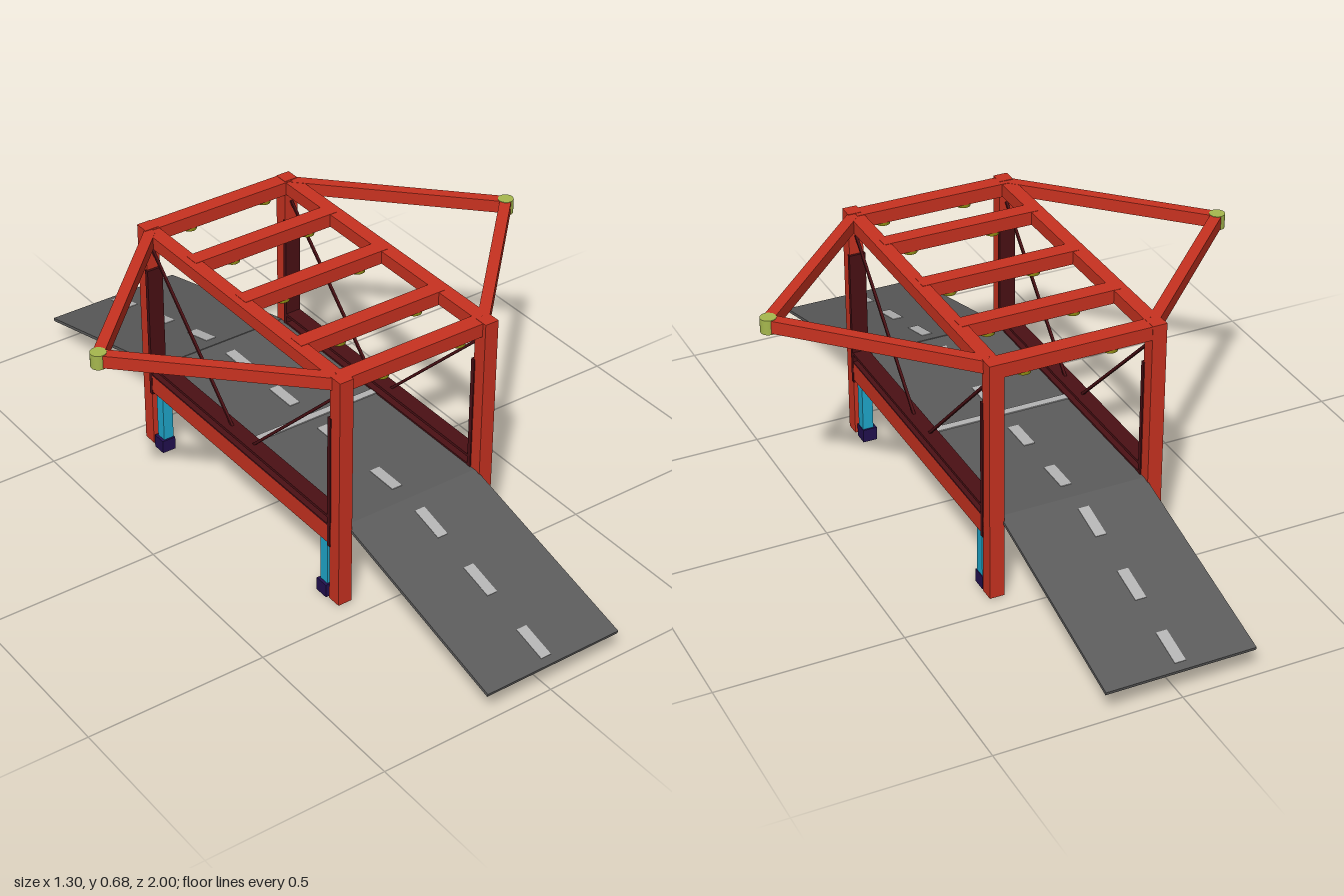
import * as THREE from 'three';

const mat = (color) => new THREE.MeshStandardMaterial({ color });
const red = mat(0xc83220), maroon = mat(0x4a1014), asphalt = mat(0x5c5c5c), paint = mat(0xb4b4b4);
const cyan = mat(0x1fa8cc), navy = mat(0x22104f), green = mat(0xa6b84e), olive = mat(0x8c8a14);

export function createModel() {
  const model = new THREE.Group();

  const add = (name, geometry, material, x, y, z) => {
    const mesh = new THREE.Mesh(geometry, material);
    mesh.name = name;
    mesh.position.set(x, y, z);
    model.add(mesh);
    return mesh;
  };
  const box = (name, material, w, h, d, x, y, z) =>
    add(name, new THREE.BoxGeometry(w, h, d), material, x, y, z);
  // Bar of rectangular section running between two points
  const bar = (name, material, w, h, a, b) => {
    const from = new THREE.Vector3(...a), to = new THREE.Vector3(...b);
    const mid = from.clone().add(to).multiplyScalar(0.5);
    const mesh = box(name, material, w, h, from.distanceTo(to), mid.x, mid.y, mid.z);
    mesh.lookAt(to);
    return mesh;
  };

  const cx = 0.005; // the frame sits slightly off the centre line

  // Deck with a joint strip across the middle and plates at both ends
  box('deck', asphalt, 0.405, 0.02, 0.86, cx, 0.221, 0);
  box('deckJoint', paint, 0.405, 0.004, 0.022, cx, 0.232, 0);

  for (const end of [1, -1]) {
    box('endPlate', paint, 0.4, 0.016, 0.006, cx, 0.213, end * 0.431);
    // Sloping ramp
    bar('ramp', asphalt, 0.405, 0.009, [cx, 0.228, end * 0.43], [cx, 0.08, end * 0.999]);
  }

  // Lane dashes on the deck and the ramps
  for (const z of [-0.93, -0.73, -0.52, -0.33, -0.12, 0.1, 0.33, 0.52, 0.72, 0.93]) {
    const height = (t) => {
      const past = Math.abs(t) - 0.43;
      return past > 0 ? 0.2325 - past * 0.26 : 0.2315;
    };
    bar('laneDash', paint, 0.03, 0.003, [-0.002, height(z - 0.048), z - 0.048], [-0.002, height(z + 0.048), z + 0.048]);
  }

  for (const side of [1, -1]) {
    const x = cx + side * 0.22;

    // Main side beams
    box('lowerSideBeam', red, 0.044, 0.052, 0.83, x, 0.205, 0);
    box('topSideBeam', red, 0.04, 0.036, 0.86, x, 0.66, 0);

    // Dark inner frame and rail
    box('beamCap', maroon, 0.044, 0.006, 0.82, x, 0.233, 0);
    box('sideRail', maroon, 0.044, 0.008, 0.82, x, 0.26, 0);

    for (const end of [1, -1]) {
      box('cornerPost', red, 0.04, 0.675, 0.04, x, 0.3425, end * 0.43);
      box('postLining', maroon, 0.046, 0.39, 0.012, x, 0.365, end * 0.409);

      // Diagonal tension rod
      bar('tensionRod', maroon, 0.007, 0.007, [x, 0.615, end * 0.41], [x, 0.228, end * 0.015]);

      // Hydraulic leg and foot
      box('leg', cyan, 0.03, 0.15, 0.03, x, 0.11, end * 0.38);
      box('foot', navy, 0.04, 0.038, 0.04, x - 0.003, 0.02, end * 0.38);

      // Outrigger arm swung out to the side
      bar('outriggerArm', red, 0.03, 0.035, [cx + side * 0.225, 0.661, end * 0.41], [side * 0.63, 0.661, 0]);
    }

    // Pivot at the outrigger tip
    add('outriggerPivot', new THREE.CylinderGeometry(0.021, 0.021, 0.04, 24), green, side * 0.63, 0.66, 0);
  }

  // Top cross beams, each with two lamps underneath
  for (const z of [-0.427, -0.225, 0, 0.24, 0.417]) {
    box('crossBeam', red, 0.44, 0.038, 0.044, cx, 0.66, z);
    for (const x of [-0.09, 0.145])
      add('lamp', new THREE.CylinderGeometry(0.02, 0.02, 0.012, 20), olive, x, 0.637, z);
  }

  return model;
}
